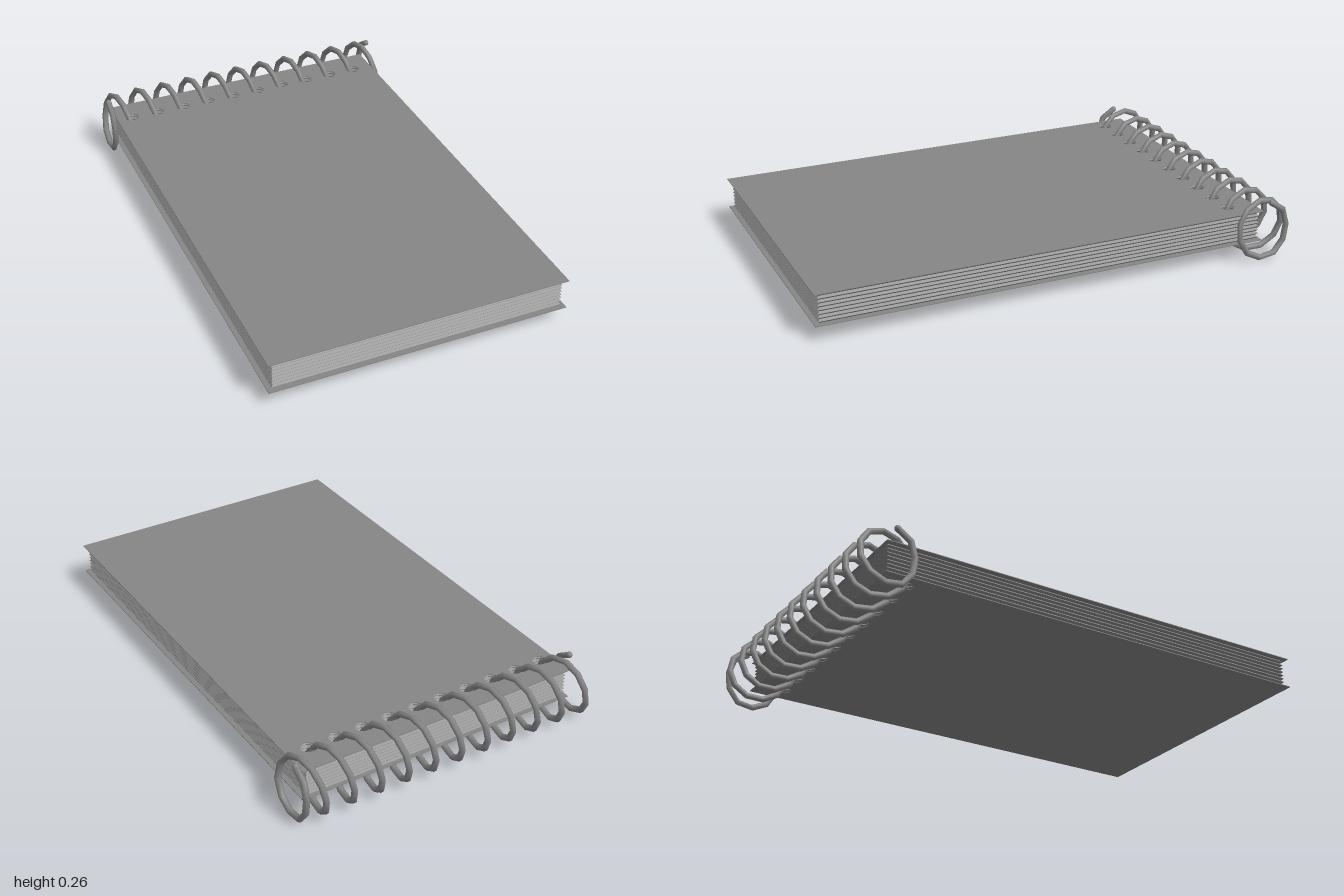
import * as THREE from 'three';

const PITCH = 0.118, HOLES = 10, FIRST_HOLE = -0.555;
const COIL_Y = 0.13, COIL_Z = -0.87, COIL_R = 0.117, WIRE_R = 0.013;

// Spiral wire; t counts turns from the bottom, with upright, slightly flattened end rings
class CoilCurve extends THREE.Curve {
  getPoint(u, target = new THREE.Vector3()) {
    const t = -0.47 + u * 11.94;
    const a = t * Math.PI * 2;
    const x = THREE.MathUtils.clamp(-0.585 + PITCH * (t - 0.5), -0.633, 0.633);
    const end = Math.max(0, -t, t - 11) / 0.47;
    const depth = COIL_R * (1 - 0.18 * Math.sin(end * Math.PI));
    return target.set(x, COIL_Y - COIL_R * Math.cos(a), COIL_Z - depth * Math.sin(a));
  }
}

// Rectangular sheet outline (shape y becomes z) with a row of binding holes
function sheetShape(x0, x1, z0, z1) {
  const shape = new THREE.Shape([
    new THREE.Vector2(x0, z0), new THREE.Vector2(x1, z0),
    new THREE.Vector2(x1, z1), new THREE.Vector2(x0, z1),
  ]);
  for (let i = 0; i < HOLES; i++) {
    const hole = new THREE.Path();
    hole.absarc(FIRST_HOLE + i * PITCH, -0.765, 0.029, 0, Math.PI * 2, true);
    shape.holes.push(hole);
  }
  return shape;
}

export function createModel() {
  const group = new THREE.Group();
  const wire = new THREE.MeshStandardMaterial({ color: 0x868686 });
  const paper = new THREE.MeshStandardMaterial({ color: 0x868686, flatShading: true });

  const add = (name, geometry, material, parent = group) => {
    const mesh = new THREE.Mesh(geometry, material);
    mesh.name = name;
    parent.add(mesh);
    return mesh;
  };

  // Thin covers
  const coverGeo = new THREE.ExtrudeGeometry(sheetShape(-0.62, 0.597, -0.88, 1),
    { depth: 0.003, bevelEnabled: false, curveSegments: 8 });
  coverGeo.rotateX(Math.PI / 2);
  add('frontCover', coverGeo, paper).position.y = 0.198;
  add('backCover', coverGeo, paper).position.y = 0.072;

  // Page block: stacked bundles with bevelled rims give the ridged edges
  const pages = new THREE.Group();
  pages.name = 'pages';
  group.add(pages);
  const layers = 8, bottom = 0.072, top = 0.195;
  const step = (top - bottom) / layers, core = 0.001;
  const pageGeo = new THREE.ExtrudeGeometry(sheetShape(-0.603, 0.58, -0.872, 0.984), {
    depth: core, bevelEnabled: true, bevelSegments: 1, bevelSize: 0.008,
    bevelOffset: -0.008, bevelThickness: (step - core) / 2, curveSegments: 8,
  });
  pageGeo.rotateX(Math.PI / 2);
  for (let i = 0; i < layers; i++) {
    add('pageBundle', pageGeo, paper, pages).position.y = bottom + (i + 0.5) * step + core / 2;
  }

  // Spiral binding with rounded wire ends
  const coil = new CoilCurve();
  coil.arcLengthDivisions = 1200;
  add('spiralBinding', new THREE.TubeGeometry(coil, 130, WIRE_R, 6, false), wire);
  for (const u of [0, 1]) {
    add('wireEnd', new THREE.SphereGeometry(WIRE_R, 8, 6), wire).position.copy(coil.getPoint(u));
  }
  return group;
}
